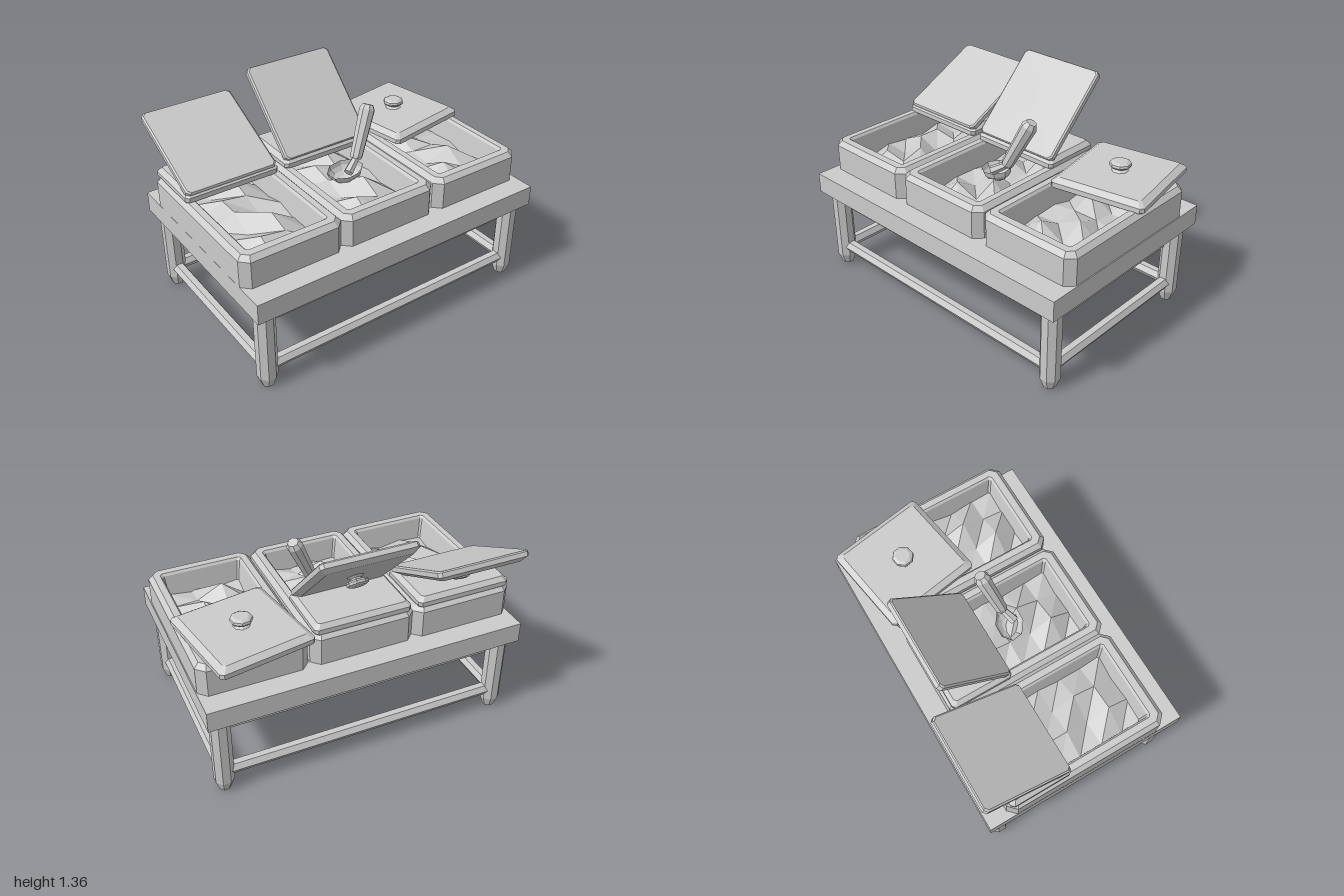
import * as THREE from 'three';

const material = new THREE.MeshStandardMaterial({ color: 0xcccccc, flatShading: true });
const openMaterial = new THREE.MeshStandardMaterial({ color: 0xcccccc, flatShading: true, side: THREE.DoubleSide });
const MID_Z = 0.015;

function add(parent, name, geometry, x = 0, y = 0, z = 0, mat = material) {
  const mesh = new THREE.Mesh(geometry, mat);
  mesh.name = name;
  mesh.position.set(x, y, z);
  parent.add(mesh);
  return mesh;
}

// Solid through rectangular rings with cut corners: [halfWidth, halfDepth, y, cornerCut]
function loft(rings) {
  const loops = rings.map(([w, d, y, c]) => [
    [w, d - c], [w, c - d], [w - c, -d], [c - w, -d],
    [-w, c - d], [-w, d - c], [c - w, d], [w - c, d],
  ].map(([x, z]) => [x, y, z]));
  const out = [];
  const n = 8;
  for (let i = 0; i < n; i++) {
    const j = (i + 1) % n;
    for (let r = 0; r < loops.length - 1; r++) {
      const a = loops[r], b = loops[r + 1];
      out.push(...a[i], ...a[j], ...b[j], ...a[i], ...b[j], ...b[i]);
    }
    const first = loops[0], last = loops[loops.length - 1];
    out.push(0, rings[0][2], 0, ...first[j], ...first[i]);
    out.push(0, rings[rings.length - 1][2], 0, ...last[i], ...last[j]);
  }
  const geometry = new THREE.BufferGeometry();
  geometry.setAttribute('position', new THREE.Float32BufferAttribute(out, 3));
  geometry.computeVertexNormals();
  return geometry;
}

function lathe(points, sides = 8) {
  return new THREE.LatheGeometry(points.map(([r, y]) => new THREE.Vector2(r, y)), sides, Math.PI / sides);
}

// Turned part standing at one point and pointing to another
function aim(mesh, from, to) {
  mesh.position.copy(from);
  mesh.quaternion.setFromUnitVectors(new THREE.Vector3(0, 1, 0), to.clone().sub(from).normalize());
}

// Bevelled lid with its knob, lying flat
function makeLid() {
  const lid = new THREE.Group();
  add(lid, 'lidPanel', loft([
    [0.288, 0.305, 0, 0.02], [0.298, 0.31, 0.008, 0.02],
    [0.298, 0.31, 0.036, 0.02], [0.262, 0.274, 0.062, 0.015],
  ]));
  add(lid, 'lidKnob', lathe([
    [0, 0.06], [0.055, 0.06], [0.036, 0.074], [0.036, 0.083],
    [0.062, 0.088], [0.068, 0.098], [0.064, 0.112], [0.045, 0.122], [0, 0.122],
  ]));
  return lid;
}

// Lumpy food filling a pan
function makeFood(seed) {
  const geometry = new THREE.PlaneGeometry(0.88, 0.48, 6, 3);
  geometry.rotateX(-Math.PI / 2).rotateY(Math.PI / 2);
  const p = geometry.attributes.position;
  for (let i = 0; i < p.count; i++) {
    const row = Math.round((p.getZ(i) + 0.44) / 0.1467);
    const col = Math.round((p.getX(i) + 0.24) / 0.16);
    const inner = col > 0 && col < 3 && row > 0 && row < 6;
    const wave = Math.sin(row * 2.1 + col * 2.6 + seed);
    p.setY(i, inner ? 0.765 + 0.05 * wave : 0.715 + 0.02 * wave);
  }
  geometry.computeVertexNormals();
  return geometry;
}

function addTable(root) {
  add(root, 'tableTop', new THREE.BoxGeometry(1.99, 0.13, 1.33), 0, 0.605, MID_Z);
  add(root, 'heaterBox', new THREE.BoxGeometry(1.78, 0.14, 1.06), 0, 0.47, MID_Z);
  const leg = lathe([[0, 0], [0.037, 0], [0.0625, 0.07], [0.0625, 0.545], [0, 0.545]]);
  for (const s of [-1, 1]) {
    for (const t of [-1, 1]) add(root, 'leg', leg, s * 0.905, 0, MID_Z + t * 0.568);
    // Hexagonal rails between the legs
    const longRail = new THREE.CylinderGeometry(0.04, 0.04, 1.76, 6);
    longRail.rotateZ(Math.PI / 2);
    add(root, 'longRail', longRail, 0, 0.135, MID_Z + s * 0.568);
    const sideRail = new THREE.CylinderGeometry(0.04, 0.04, 1.08, 6, 1, false, Math.PI / 6 + Math.PI / 3);
    sideRail.rotateX(Math.PI / 2);
    add(root, 'sideRail', sideRail, s * 0.905, 0.135, MID_Z);
  }
}

function addPan(root, x, seed) {
  add(root, 'pan', loft([
    [0.329, 0.53, 0.665, 0.05], [0.329, 0.53, 0.84, 0.05], [0.302, 0.503, 0.87, 0.035],
    [0.262, 0.457, 0.87, 0.015], [0.25, 0.445, 0.855, 0.012], [0.225, 0.42, 0.68, 0.01],
  ]), x, 0, MID_Z);
  add(root, 'food', makeFood(seed), x, 0, MID_Z, openMaterial);
}

function addHingedLid(root, x, angle) {
  // Fixed rear cover and the lid folded back from its front edge
  add(root, 'rearCover', loft([
    [0.3, 0.195, 0.865, 0.02], [0.307, 0.2, 0.875, 0.02],
    [0.307, 0.2, 0.9, 0.02], [0.28, 0.175, 0.927, 0.015],
  ]), x, 0, -0.3);
  const hinge = new THREE.Group();
  hinge.name = 'openLid';
  hinge.position.set(x, 0.93, -0.1);
  hinge.rotation.x = THREE.MathUtils.degToRad(angle - 180);
  const lid = makeLid();
  lid.position.z = 0.31;
  hinge.add(lid);
  root.add(hinge);
}

function addScoop(root) {
  const scoop = new THREE.Group();
  scoop.name = 'scoop';
  const top = new THREE.Vector3(0.222, 1.19, -0.005);
  const grip = new THREE.Vector3(0.085, 0.89, 0.06);
  const neckEnd = new THREE.Vector3(0.0, 0.835, 0.1);
  const length = top.distanceTo(grip);
  const handle = add(scoop, 'scoopHandle', lathe([
    [0, 0], [0.036, 0], [0.04, 0.02], [0.05, length - 0.03], [0.034, length], [0, length],
  ]));
  aim(handle, grip, top);
  const neck = add(scoop, 'scoopNeck', lathe([[0, 0], [0.03, 0], [0.022, 0.12], [0, 0.12]], 6));
  aim(neck, neckEnd, grip);
  const bowl = add(scoop, 'scoopBowl',
    new THREE.SphereGeometry(0.11, 8, 4, 0, Math.PI * 2, Math.PI / 2, Math.PI / 2),
    0.0, 0.845, 0.065, openMaterial);
  bowl.scale.set(1.05, 0.75, 0.8);
  bowl.rotation.set(0.15, -0.3, 0.2);
  root.add(scoop);
}

export function createModel() {
  const root = new THREE.Group();
  root.name = 'buffetTable';
  addTable(root);
  [-0.665, -0.01, 0.66].forEach((x, i) => addPan(root, x, i * 0.4));
  addHingedLid(root, -0.672, 26.5);
  addHingedLid(root, -0.01, 45);
  // Loose lid lying askew on the third pan
  const looseLid = makeLid();
  looseLid.name = 'looseLid';
  looseLid.position.set(0.658, 0.864, -0.3);
  looseLid.rotation.y = THREE.MathUtils.degToRad(10);
  root.add(looseLid);
  addScoop(root);
  return root;
}
